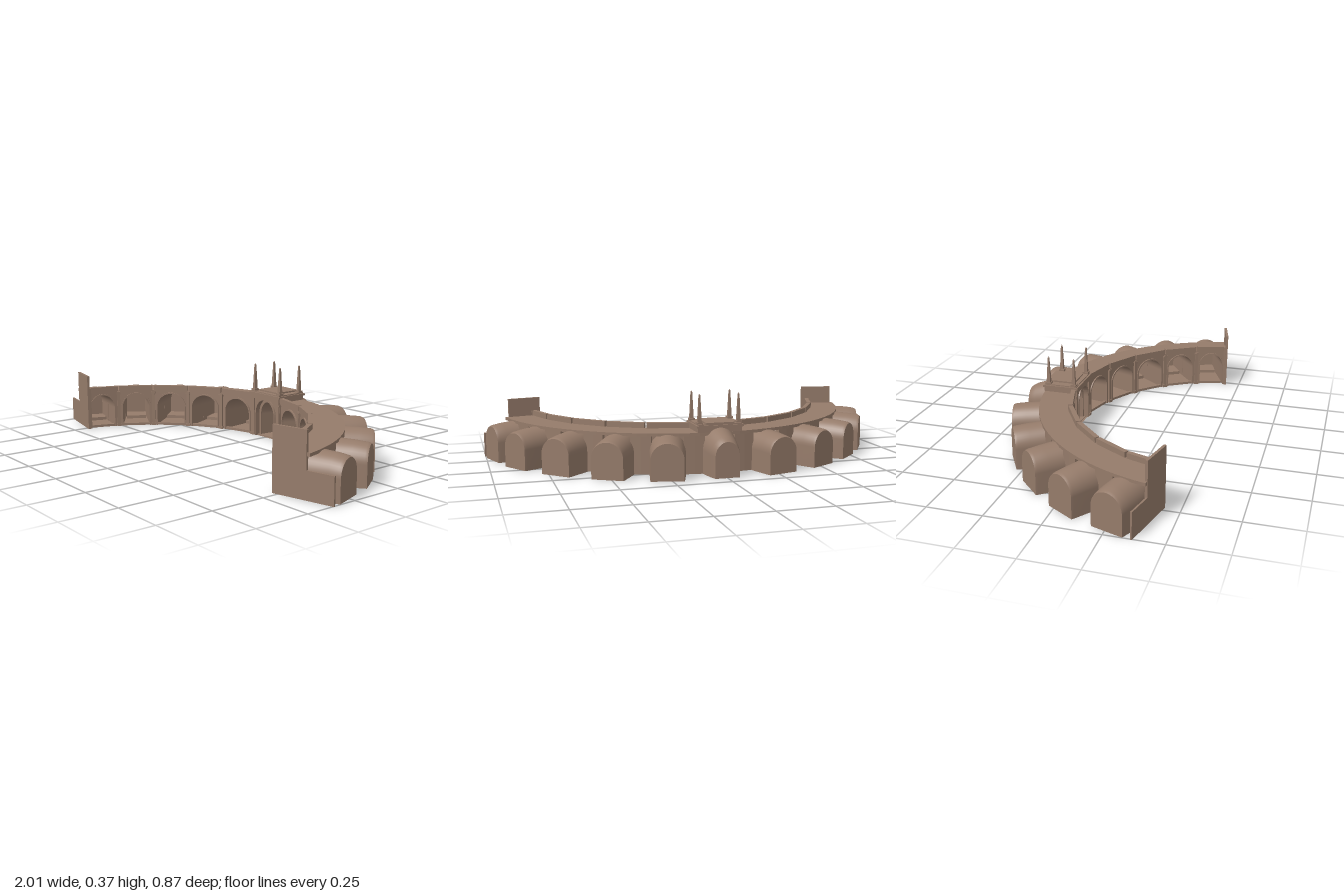
import * as THREE from 'three';

const CZ = 0.592;                 // centre of the ring along z
const RAD = Math.PI / 180;
const EDGES = [7.5, 22.7, 36.9, 51, 64.8, 77.4];   // pier angles, measured from the back
const END = EDGES[5];

const stone = new THREE.MeshStandardMaterial({ color: 0x957b6a, side: THREE.DoubleSide });
stone.name = 'warm stone';

function add(parent, name, geo, x = 0, y = 0, z = 0) {
  const m = new THREE.Mesh(geo, stone);
  m.name = name;
  m.position.set(x, y, z);
  parent.add(m);
  return m;
}

// Box given by its lower centre and its radial range (outward is -z)
function block(parent, name, x, w, y0, y1, r0, r1) {
  return add(parent, name, new THREE.BoxGeometry(w, y1 - y0, r1 - r0), x, (y0 + y1) / 2, -(r0 + r1) / 2);
}

// Group turned so that its -z axis points outward at the given angle
function spoke(parent, name, deg) {
  const g = new THREE.Group();
  g.name = name;
  g.rotation.y = -deg * RAD;
  parent.add(g);
  return g;
}

// Arch outline: straight jambs up to s, then an elliptical head up to h
function archPoints(w, s, h, n = 20) {
  const p = [new THREE.Vector2(-w, 0)];
  for (let i = 0; i <= n; i++) {
    const t = Math.PI * (1 - i / n);
    p.push(new THREE.Vector2(w * Math.cos(t), s + (h - s) * Math.sin(t)));
  }
  p.push(new THREE.Vector2(w, 0));
  return p;
}

// Vault through arch sections [w, s, h, r]; inward turns the faces to the inside
function vault(parent, name, sections, inward) {
  const pos = [], idx = [];
  const rows = sections.map(([w, s, h, r]) => archPoints(w, s, h).map(p => [p.x, p.y, -r]));
  const n = rows[0].length;
  rows.forEach(row => row.forEach(p => pos.push(...p)));
  for (let j = 0; j < rows.length - 1; j++) {
    for (let i = 0; i < n - 1; i++) {
      const a = j * n + i, b = a + 1, c = a + n, d = c + 1;
      if (inward) idx.push(a, c, b, b, c, d);
      else idx.push(a, b, c, b, d, c);
    }
  }
  const geo = new THREE.BufferGeometry();
  geo.setAttribute('position', new THREE.Float32BufferAttribute(pos, 3));
  geo.setIndex(idx);
  geo.computeVertexNormals();
  add(parent, name, geo);
  // Flat arched wall closing the far end
  const [w, s, h, r] = sections[sections.length - 1];
  const cap = add(parent, name + 'End', new THREE.ShapeGeometry(new THREE.Shape(archPoints(w, s, h))), 0, 0, -r);
  if (!inward) cap.rotation.y = Math.PI;
}

// Upright wall with an arched opening; its front face lies at radius r
function archWall(parent, name, hw, top, arch, r, depth) {
  const shape = new THREE.Shape([
    new THREE.Vector2(-hw, 0), new THREE.Vector2(hw, 0),
    new THREE.Vector2(hw, top), new THREE.Vector2(-hw, top)]);
  shape.holes.push(new THREE.Path(archPoints(...arch)));
  add(parent, name, new THREE.ExtrudeGeometry(shape, { depth, bevelEnabled: false }), 0, 0, -r - depth);
}

// Raised band around an arched opening
function archBand(parent, w, s, h, t, r, depth) {
  const outer = archPoints(w + t, s, h + t), inner = archPoints(w, s, h).reverse();
  const geo = new THREE.ExtrudeGeometry(new THREE.Shape([...outer, ...inner]), { depth, bevelEnabled: false });
  add(parent, 'archBand', geo, 0, 0, -r - depth);
}

// Solid piece of the ring between two angles
function sector(parent, name, r0, r1, a0, a1, y0, y1) {
  const n = Math.max(2, Math.ceil((a1 - a0) / 3)), pts = [];
  const at = (r, a) => new THREE.Vector2(r * Math.sin(a * RAD), r * Math.cos(a * RAD));
  for (let i = 0; i <= n; i++) pts.push(at(r1, a0 + (a1 - a0) * i / n));
  for (let i = n; i >= 0; i--) pts.push(at(r0, a0 + (a1 - a0) * i / n));
  const geo = new THREE.ExtrudeGeometry(new THREE.Shape(pts), { depth: y1 - y0, bevelEnabled: false });
  geo.rotateX(-Math.PI / 2);
  add(parent, name, geo, 0, y0, 0);
}

// One side bay: arcade front, hollow niche and projecting apse
function sideBay(parent, k, side) {
  const a0 = EDGES[k], a1 = EDGES[k + 1], last = k === 4;
  const g = spoke(parent, 'sideBay', side * (a0 + a1) / 2);
  const hw = 0.765 * Math.tan((a1 - a0) / 2 * RAD);
  const w = Math.min(0.075, hw - 0.022);
  const far = last ? 1.03 : 1.045;
  archWall(g, 'arcadeWall', hw, 0.185, [w, 0.1, 0.17], 0.765, 0.012);
  archBand(g, w, 0.1, 0.17, 0.007, 0.759, 0.008);
  vault(g, 'niche', [[w, 0.1, 0.17, 0.768], [w * 0.72, 0.09, 0.145, far - 0.02]], true);
  vault(g, 'apse', [[0.084, 0.1, 0.187, 0.87], [0.079, 0.1, 0.18, 0.98],
    [0.076, 0.098, 0.174, far - 0.012], [0.074, 0.096, 0.168, far]], false);
  block(g, 'nicheFloor', 0, 0.146, 0, 0.004, 0.77, far - 0.001);
  block(g, 'bench', 0, w * 1.5, 0.004, 0.02, 0.92, far - 0.02);
  block(g, 'sill', 0, w * 2, 0, 0.012, 0.765, 0.78);
  block(g, 'parapet', 0, hw * 2 - 0.008, 0.19, 0.215, 0.757, 0.778);
  block(g, 'cornice', 0, hw * 2, 0.181, 0.19, 0.76, 0.785);
}

function pavilion(parent) {
  const g = spoke(parent, 'centralPavilion', 0);
  archWall(g, 'pavilionFront', 0.1, 0.205, [0.068, 0.115, 0.19], 0.757, 0.02);
  archBand(g, 0.068, 0.115, 0.19, 0.009, 0.75, 0.008);
  archWall(g, 'innerFrame', 0.075, 0.2, [0.055, 0.11, 0.177], 0.775, 0.01);
  vault(g, 'centralNiche', [[0.055, 0.11, 0.177, 0.78], [0.04, 0.1, 0.15, 1.0]], true);
  vault(g, 'centralApse', [[0.085, 0.11, 0.212, 0.89], [0.08, 0.11, 0.21, 0.915],
    [0.067, 0.1, 0.183, 0.99], [0.061, 0.1, 0.172, 1.01], [0.057, 0.098, 0.163, 1.022]], false);
  block(g, 'nicheFloor', 0, 0.114, 0, 0.004, 0.77, 1.02);
  block(g, 'bench', 0, 0.085, 0.004, 0.02, 0.92, 1.0);
  // Stepped roof platform
  block(g, 'platformBase', 0, 0.21, 0.19, 0.212, 0.75, 0.915);
  block(g, 'platformCornice', 0, 0.222, 0.212, 0.222, 0.745, 0.92);
  block(g, 'platformStep', 0, 0.208, 0.222, 0.227, 0.753, 0.914);
  block(g, 'attic', 0, 0.134, 0.227, 0.234, 0.775, 0.918);
  for (const x of [-0.093, 0.093]) {
    block(g, 'pilaster', x, 0.022, 0, 0.205, 0.75, 0.79);
    block(g, 'pilasterFoot', x, 0.028, 0, 0.015, 0.747, 0.79);
    block(g, 'returnWall', x, 0.014, 0, 0.2, 0.78, 0.9);
    for (const r of [0.768, 0.895]) {
      block(g, 'pedestal', x, 0.027, 0.227, 0.236, r - 0.0135, r + 0.0135);
      const spire = new THREE.CylinderGeometry(0.005, 0.0125, 0.122, 4).rotateY(Math.PI / 4).toNonIndexed();
      spire.computeVertexNormals();
      add(g, 'obelisk', spire, x, 0.297, -r);
      const tip = new THREE.ConeGeometry(0.005, 0.007, 4).rotateY(Math.PI / 4).toNonIndexed();
      tip.computeVertexNormals();
      add(g, 'obeliskTip', tip, x, 0.3615, -r);
    }
  }
}

export function createModel() {
  const model = new THREE.Group();
  model.name = 'curvedArcade';
  const ring = new THREE.Group();
  ring.name = 'ring';
  ring.position.z = CZ;
  model.add(ring);

  // Continuous walkway and ground slab
  sector(ring, 'walkway', 0.77, 0.918, -END, END, 0.176, 0.19);
  sector(ring, 'groundSlab', 0.768, 0.91, -END, END, 0, 0.004);
  pavilion(ring);

  for (const side of [-1, 1]) {
    for (let k = 0; k < 5; k++) {
      sideBay(ring, k, side);
      // Pier between bays, closed at the back by a strip of outer wall
      const e = side * EDGES[k];
      sector(ring, 'outerWall', 0.89, 0.915, e - 3, e + 3, 0.004, 0.176);
      const p = spoke(ring, 'pier', e);
      block(p, 'pierShaft', 0, 0.016, 0, 0.185, 0.76, 0.785);
      block(p, 'pierFoot', 0, 0.022, 0, 0.014, 0.757, 0.785);
      block(p, 'pierCap', 0, 0.021, 0.172, 0.181, 0.757, 0.785);
    }
    // Tall flat wall closing each end
    const e = spoke(ring, 'endWall', side * END);
    block(e, 'endSlab', -side * 0.004, 0.012, 0, 0.28, 0.742, 0.903);
    block(e, 'endPilaster', -side * 0.012, 0.014, 0, 0.215, 0.748, 0.785);
    block(e, 'apseFlank', -side * 0.002, 0.008, 0, 0.12, 0.9, 1.03);
  }
  return model;
}
